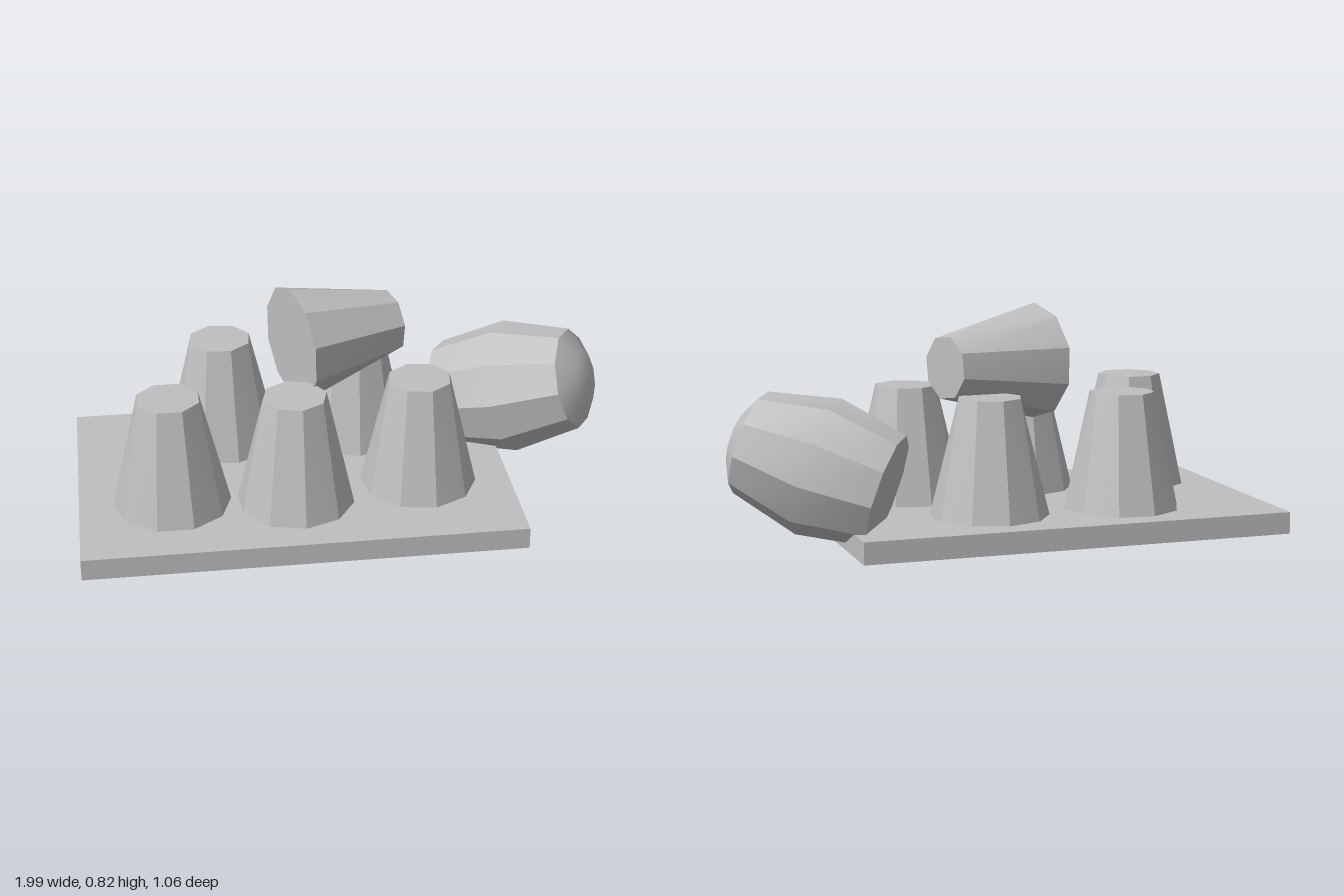
import * as THREE from 'three';
import { toCreasedNormals } from 'three/addons/utils/BufferGeometryUtils.js';
import { ConvexGeometry } from 'three/addons/geometries/ConvexGeometry.js';

const UP = new THREE.Vector3(0, 1, 0);

// Horizontal ring of points for a cross-section
function ring(sides, radius, y, phase = 0) {
  return Array.from({ length: sides }, (_, i) => {
    const a = phase + (i / sides) * Math.PI * 2;
    return new THREE.Vector3(Math.cos(a) * radius, y, Math.sin(a) * radius);
  });
}

// Tapered cup: ten-sided foot narrowing to an eight-sided top
function cupGeometry(height, yaw = 0) {
  const points = [...ring(10, 0.215, 0, yaw), ...ring(8, 0.118, height, yaw + Math.PI / 8)];
  return toCreasedNormals(new ConvexGeometry(points), 0.45);
}

export function createModel() {
  const model = new THREE.Group();
  model.name = 'cupTray';
  const grey = new THREE.MeshStandardMaterial({ color: 0xbfbfbf });
  grey.name = 'plain grey';

  const add = (name, geometry, x, y, z) => {
    const mesh = new THREE.Mesh(geometry, grey);
    mesh.name = name;
    mesh.position.set(x, y, z);
    model.add(mesh);
    return mesh;
  };

  // Flat tray
  add('tray', new THREE.BoxGeometry(1.6, 0.08, 1.06), -0.2, 0.04, 0);

  // Standing cups: x, z, yaw
  const cups = [
    [-0.44, -0.275, 0.1],
    [0.065, -0.27, 0.3],
    [-0.66, 0.185, 0],
    [-0.21, 0.225, 0.25],
    [0.255, 0.145, 0.15],
  ];
  cups.forEach(([x, z, yaw], i) => add(`standingCup${i + 1}`, cupGeometry(0.425, yaw), x, 0.09, z));

  // Cup lying across the others
  const lying = add('lyingCup', cupGeometry(0.41, 0.3), -0.195, 0.607, -0.01);
  lying.quaternion.setFromUnitVectors(UP, new THREE.Vector3(0.385, 0.003, -0.135).normalize());

  // Barrel leaning on the tray edge, flat at the low end and domed at the high end
  const profile = [
    [0, -0.26], [0.205, -0.26], [0.252, 0], [0.19, 0.26], [0.1, 0.31], [0, 0.325],
  ].map(([r, y]) => new THREE.Vector2(r, y));
  const barrelGeometry = toCreasedNormals(new THREE.LatheGeometry(profile, 10), 0.55);
  const barrel = add('leaningBarrel', barrelGeometry, 0.67, 0.285, -0.185);
  barrel.quaternion.setFromUnitVectors(UP, new THREE.Vector3(0.44, 0.16, 0.25).normalize());

  return model;
}
